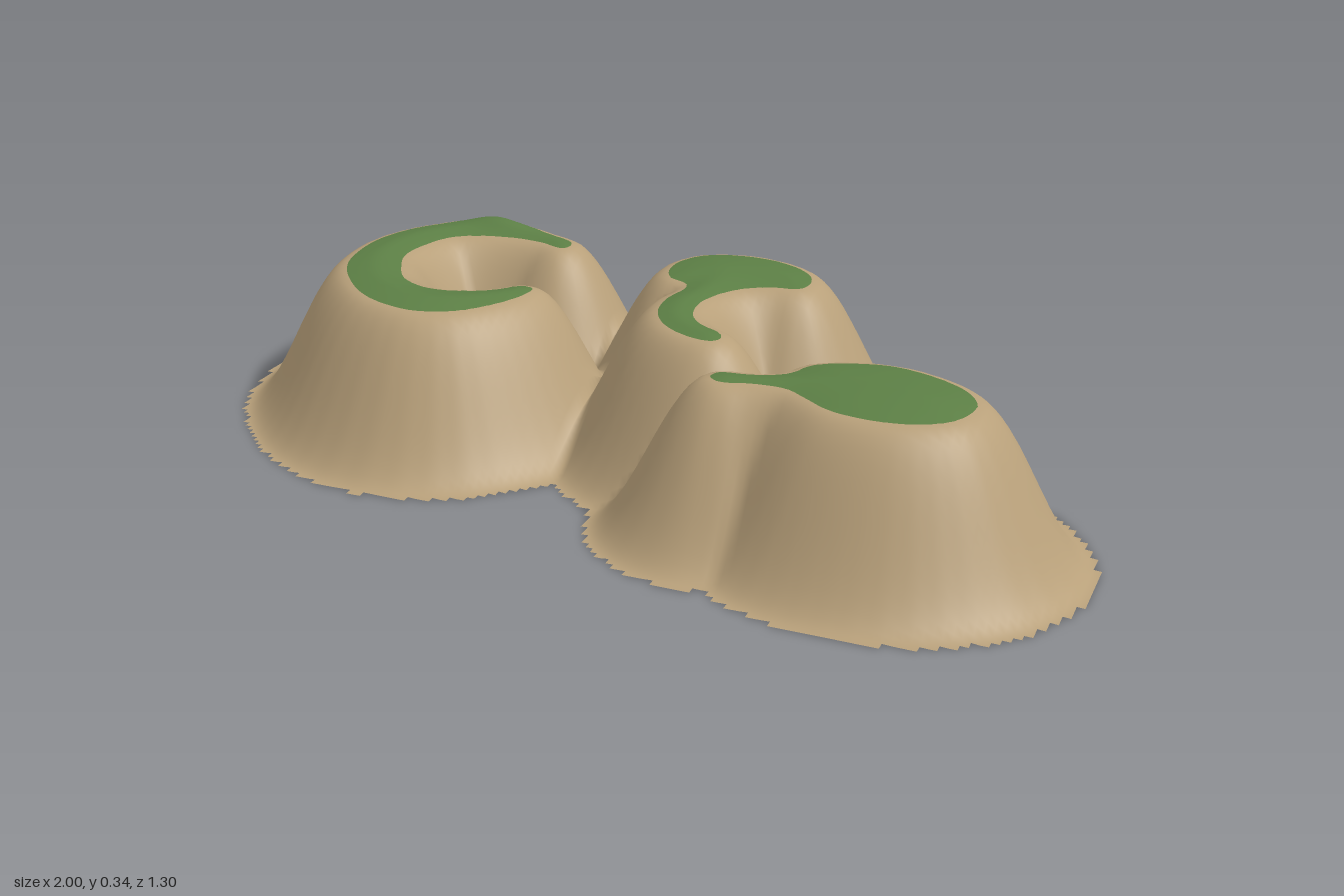
import * as THREE from 'three';

const SKIRT = 0.24;   // horizontal run of the slopes
const EDGE = 0.315;   // height of the plateau rims
const STEP = 1 / 64;  // terrain cell size

// Plateau outlines as x, z pairs
const OUTLINES = [
  // crescent
  [-.33, -.32, -.345, -.355, -.425, -.39, -.495, -.415, -.57, -.42, -.655, -.39, -.72, -.32, -.757, -.22,
    -.757, -.115, -.73, -.013, -.665, .083, -.57, .168, -.45, .206, -.366, .18, -.307, .11, -.275, .03,
    -.275, -.02, -.307, -.024, -.345, .019, -.41, .056, -.48, .067, -.56, .03, -.612, -.045, -.644, -.12,
    -.639, -.21, -.612, -.28, -.56, -.313, -.48, -.33, -.4, -.323, -.345, -.3],
  // hook
  [-.056, -.25, -.056, -.32, -.02, -.38, .07, -.41, .163, -.393, .233, -.345, .26, -.286, .25, -.238,
    .2, -.227, .147, -.2, .11, -.152, .088, -.078, .1, 0, .136, .05, .19, .083, .206, .115, .19, .136,
    .136, .126, .067, .078, .024, .003, .013, -.078, .024, -.142, .013, -.18, -.03, -.2],
  // teardrop
  [.26, .313, .27, .286, .334, .275, .393, .243, .42, .184, .479, .147, .564, .13, .65, .152, .725, .2,
    .762, .265, .74, .35, .676, .393, .6, .404, .52, .388, .463, .35, .414, .318, .35, .318, .286, .334],
];

// Smooth each outline into a closed polygon
const polygons = OUTLINES.map((flat) => {
  const pts = [];
  for (let i = 0; i < flat.length; i += 2) pts.push(new THREE.Vector3(flat[i], 0, flat[i + 1]));
  return new THREE.CatmullRomCurve3(pts, true).getPoints(pts.length * 3).map((p) => [p.x, p.z]);
});

// Signed distance to the nearest plateau, negative inside
function plateauDistance(x, z) {
  let best = Infinity;
  for (const poly of polygons) {
    let d2 = Infinity, inside = false;
    for (let i = 0; i < poly.length - 1; i++) {
      const [ax, az] = poly[i], [bx, bz] = poly[i + 1];
      const ex = bx - ax, ez = bz - az;
      const t = THREE.MathUtils.clamp(((x - ax) * ex + (z - az) * ez) / (ex * ex + ez * ez || 1), 0, 1);
      d2 = Math.min(d2, (x - ax - t * ex) ** 2 + (z - az - t * ez) ** 2);
      if ((az > z) !== (bz > z) && x < ax + ((z - az) / ez) * ex) inside = !inside;
    }
    best = Math.min(best, inside ? -Math.sqrt(d2) : Math.sqrt(d2));
  }
  return best;
}

// Terrain height: smooth slopes, gently domed tops, one small knoll
function heightAt(x, z, d) {
  const slope = EDGE * (1 - THREE.MathUtils.smoothstep(d, 0, SKIRT));
  const dome = d < 0 ? 0.02 * (1 - Math.exp(d / 0.08)) : 0;
  const knoll = 0.02 * Math.exp(-(((x + 0.55) / 0.08) ** 2) - ((z + 0.39) / 0.03) ** 2);
  return slope + dome + knoll * (d < SKIRT ? 1 : 0);
}

// Keep the part of a polygon on one side of the plateau rim
function clip(poly, sign) {
  const out = [];
  poly.forEach((a, i) => {
    const b = poly[(i + 1) % poly.length];
    if (a.d * sign >= 0) out.push(a);
    if (a.d * b.d < 0) {
      const t = a.d / (a.d - b.d);
      const mix = (k) => a[k] + (b[k] - a[k]) * t;
      out.push({ x: mix('x'), y: mix('y'), z: mix('z'), nx: mix('nx'), nz: mix('nz'), d: 0 });
    }
  });
  return out;
}

// Triangulate polygons into a smooth-shaded mesh
function surface(name, polys, material) {
  const positions = [], normals = [];
  const n = new THREE.Vector3();
  for (const p of polys) {
    for (let i = 1; i < p.length - 1; i++) {
      for (const v of [p[0], p[i], p[i + 1]]) {
        positions.push(v.x, v.y, v.z);
        n.set(v.nx, 1, v.nz).normalize();
        normals.push(n.x, n.y, n.z);
      }
    }
  }
  const geometry = new THREE.BufferGeometry();
  geometry.setAttribute('position', new THREE.Float32BufferAttribute(positions, 3));
  geometry.setAttribute('normal', new THREE.Float32BufferAttribute(normals, 3));
  const mesh = new THREE.Mesh(geometry, material);
  mesh.name = name;
  return mesh;
}

export function createModel() {
  const earth = new THREE.MeshStandardMaterial({ color: 0xb8a07a, side: THREE.DoubleSide });
  earth.name = 'sandy earth';
  const grass = new THREE.MeshStandardMaterial({ color: 0x5c7f45, side: THREE.DoubleSide });
  grass.name = 'grass green';

  // Sample the terrain on a grid
  const nx = Math.round(2 / STEP), nz = Math.round(1.3125 / STEP);
  const grid = [];
  for (let j = 0; j <= nz; j++) {
    for (let i = 0; i <= nx; i++) {
      const x = -1 + i * STEP, z = (j - nz / 2) * STEP;
      const d = plateauDistance(x, z);
      grid.push({ x, z, d, y: heightAt(x, z, d) });
    }
  }
  const at = (i, j) => grid[THREE.MathUtils.clamp(j, 0, nz) * (nx + 1) + THREE.MathUtils.clamp(i, 0, nx)];

  // Slope normals from neighbouring heights
  for (let j = 0; j <= nz; j++) {
    for (let i = 0; i <= nx; i++) {
      const v = at(i, j);
      v.nx = (at(i - 1, j).y - at(i + 1, j).y) / (2 * STEP);
      v.nz = (at(i, j - 1).y - at(i, j + 1).y) / (2 * STEP);
    }
  }

  // Split every raised cell into slope and grass along the rim
  const slopes = [], tops = [];
  for (let j = 0; j < nz; j++) {
    for (let i = 0; i < nx; i++) {
      const a = at(i, j), b = at(i, j + 1), c = at(i + 1, j + 1), e = at(i + 1, j);
      if ((a.d + b.d + c.d + e.d) / 4 > SKIRT) continue;
      for (const tri of [[a, b, c], [a, c, e]]) {
        slopes.push(clip(tri, 1));
        tops.push(clip(tri, -1));
      }
    }
  }

  const group = new THREE.Group();
  group.name = 'mesaHills';
  group.add(surface('hillSlopes', slopes, earth), surface('grassyTops', tops, grass));
  return group;
}
